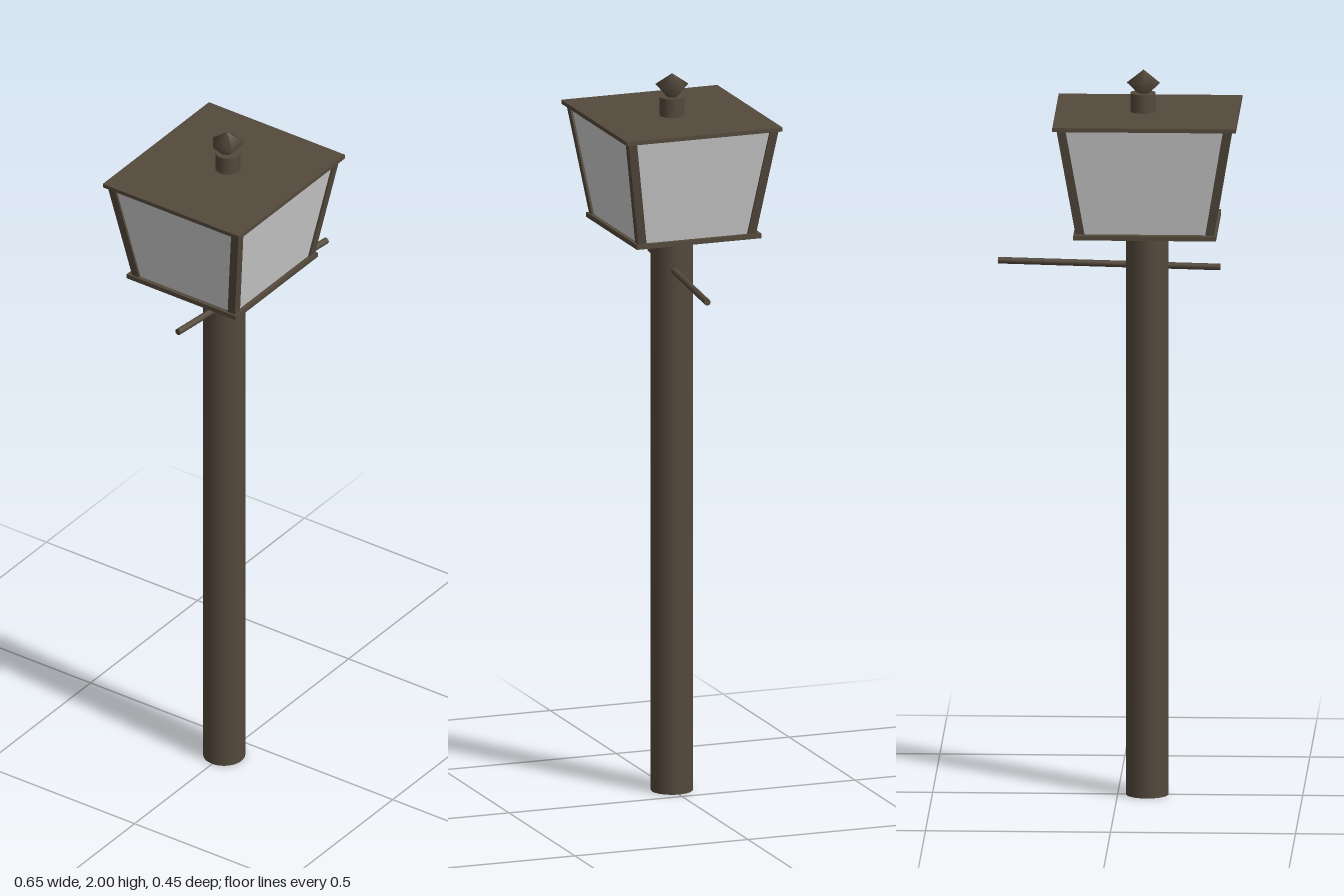
import * as THREE from 'three';

export function createModel() {
  const model = new THREE.Group();
  const brown = new THREE.MeshStandardMaterial({ color: 0x54493c });
  brown.name = 'dark bronze';
  const pane = new THREE.MeshStandardMaterial({ color: 0xcccccc });
  pane.name = 'frosted glass';

  const add = (parent, name, geometry, material, x, y, z) => {
    const mesh = new THREE.Mesh(geometry, material);
    mesh.name = name;
    mesh.position.set(x, y, z);
    parent.add(mesh);
    return mesh;
  };

  // Box whose vertices are moved by rule(x, z, t), t running 0 (bottom) to 1 (top)
  const shapedBox = (w, h, d, rule) => {
    const geometry = new THREE.BoxGeometry(w, h, d);
    const p = geometry.attributes.position;
    for (let i = 0; i < p.count; i++) {
      const [x, z] = rule(p.getX(i), p.getZ(i), p.getY(i) / h + 0.5);
      p.setX(i, x);
      p.setZ(i, z);
    }
    geometry.computeVertexNormals();
    return geometry;
  };

  const cx = -0.08;

  // Pole and the slightly turned crossbar
  add(model, 'pole', new THREE.CylinderGeometry(0.057, 0.057, 1.57, 32), brown, cx, 0.785, -0.001);
  const bar = add(model, 'crossbar', new THREE.CylinderGeometry(0.009, 0.009, 0.606, 16), brown, 0.0235, 1.46, 0.018);
  bar.quaternion.setFromUnitVectors(new THREE.Vector3(0, 1, 0), new THREE.Vector3(0.603, 0, 0.065).normalize());

  // Lantern: plates, tapered glass and four leaning corner posts
  const lantern = new THREE.Group();
  lantern.name = 'lantern';
  lantern.position.set(cx, 0, -0.003);
  model.add(lantern);
  add(lantern, 'basePlate', new THREE.BoxGeometry(0.386, 0.013, 0.36), brown, 0, 1.573, -0.004);
  add(lantern, 'roofPlate', new THREE.BoxGeometry(0.496, 0.011, 0.451), brown, 0, 1.879, 0.0015);

  const glass = shapedBox(2, 0.298, 2, (x, z, t) => [x * (0.181 + 0.05 * t), z * (0.164 + 0.047 * t)]);
  add(lantern, 'glass', glass, pane, 0, 1.727, 0);

  for (const sx of [-1, 1]) for (const sz of [-1, 1]) {
    const post = shapedBox(0.024, 0.298, 0.024, (x, z, t) =>
      [x + sx * (0.175 + 0.05 * t), z + sz * (0.158 + 0.047 * t)]);
    add(lantern, 'cornerPost', post, brown, 0, 1.727, 0);
  }

  // Finial: round neck and five-sided knob
  add(model, 'finialNeck', new THREE.CylinderGeometry(0.034, 0.034, 0.055, 24), brown, -0.068, 1.9085, 0.003);
  const knob = [[0, -0.048], [0.047, 0], [0, 0.033]].map(([r, y]) => new THREE.Vector2(r, y));
  add(model, 'finialKnob', new THREE.LatheGeometry(knob, 5, Math.PI), brown, -0.07, 1.967, 0.002);

  return model;
}
